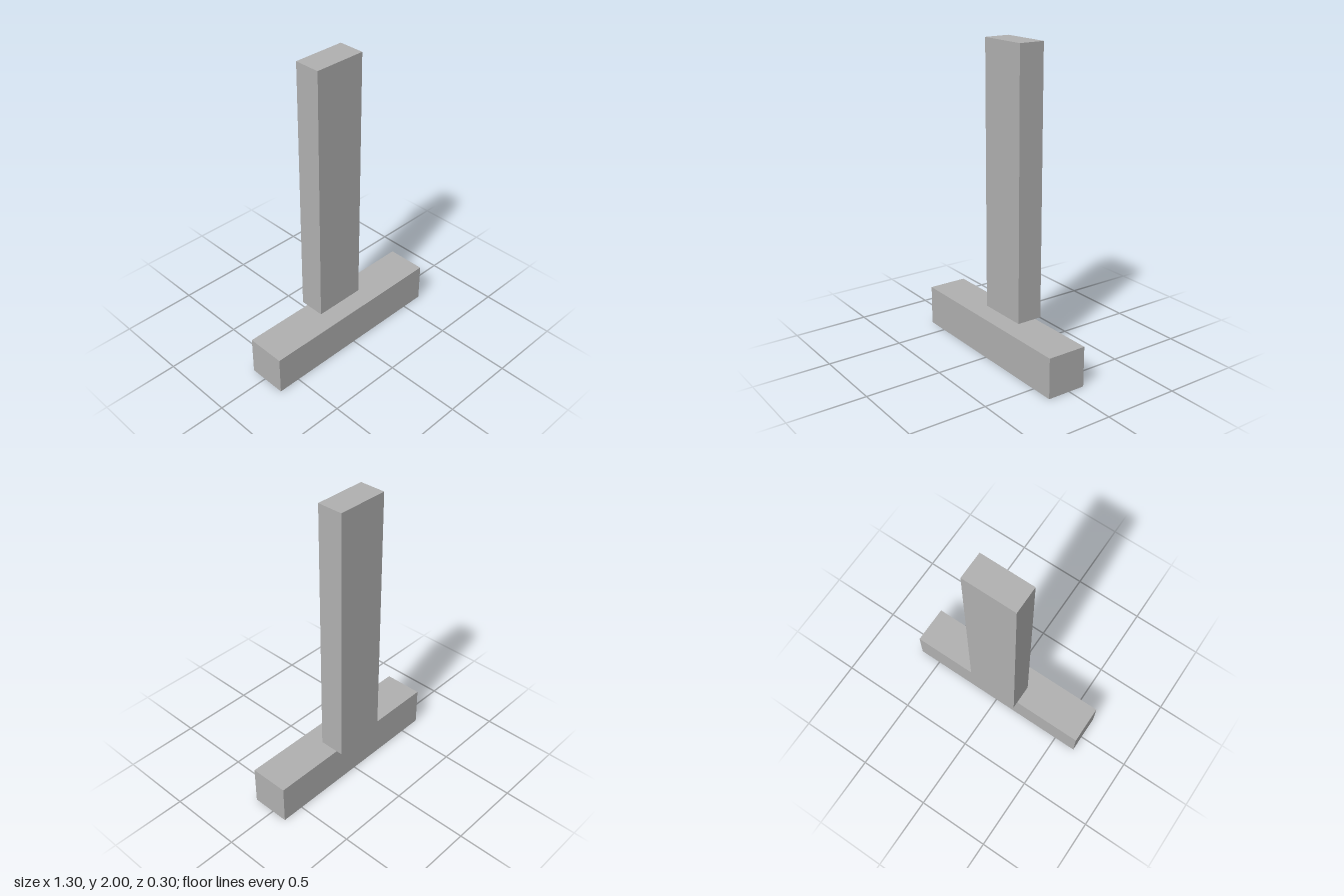
import * as THREE from 'three';

export function createModel() {
  const model = new THREE.Group();
  model.name = 'uprightOnBase';

  const grey = new THREE.MeshStandardMaterial({ color: 0xb0b0b0 });
  grey.name = 'plain grey';

  // Adds a named block from its size and centre
  const addBlock = (name, [w, h, d], [x, y, z]) => {
    const mesh = new THREE.Mesh(new THREE.BoxGeometry(w, h, d), grey);
    mesh.name = name;
    mesh.position.set(x, y, z);
    model.add(mesh);
  };

  const baseHeight = 0.262;
  const postHeight = 2 - baseHeight;

  // Wide bar lying on the ground
  addBlock('base', [1.3, baseHeight, 0.26], [0, baseHeight / 2, 0.021]);

  // Tall slab standing on the bar, overhanging its back edge
  addBlock('post', [0.346, postHeight, 0.172], [-0.001, baseHeight + postHeight / 2, -0.066]);

  return model;
}
